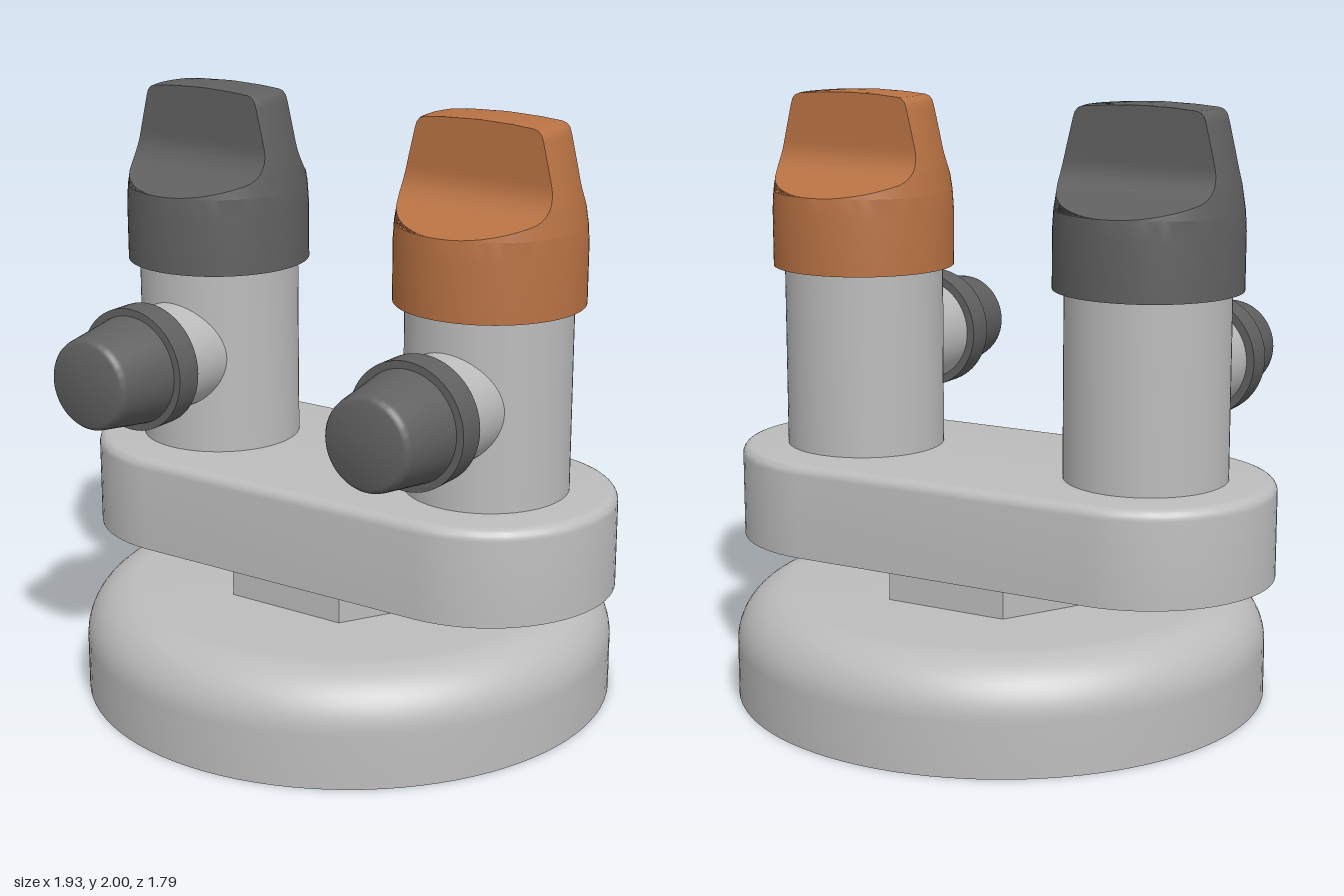
import * as THREE from 'three';
import { toCreasedNormals } from 'three/addons/utils/BufferGeometryUtils.js';

const material = (name, color) => new THREE.MeshStandardMaterial({ name, color });

// Skin a stack of closed horizontal rings, listed from bottom to top
function loft(rings) {
  const n = rings[0].length;
  const index = [];
  for (let j = 0; j < rings.length - 1; j++) {
    for (let i = 0; i < n; i++) {
      const a = j * n + i, b = j * n + (i + 1) % n;
      index.push(a, b, a + n, b + n, a + n, b);
    }
  }
  const geometry = new THREE.BufferGeometry();
  geometry.setAttribute('position', new THREE.Float32BufferAttribute(rings.flat(2), 3));
  geometry.setIndex(index);
  return toCreasedNormals(geometry, 0.6);
}

// Revolve a profile of [radius, height] pairs
function turned(profile, segments = 64) {
  const points = profile.map(([r, y]) => new THREE.Vector2(r, y));
  return toCreasedNormals(new THREE.LatheGeometry(points, segments), 0.6);
}

// Quarter-round profile points from the wall in to the top face
function fillet(r, top, size, steps = 10) {
  return Array.from({ length: steps + 1 }, (_, i) => {
    const a = (i / steps) * Math.PI / 2;
    return [r - size + size * Math.cos(a), top - size + size * Math.sin(a)];
  });
}

// Two half circles pushed apart along x
function stadiumRing(r, y, half) {
  const ring = [], steps = 32;
  for (const side of [0, 1]) {
    for (let i = 0; i <= steps; i++) {
      const a = Math.PI * (side + i / steps);
      ring.push([(side ? -half : half) + r * Math.sin(a), y, r * Math.cos(a)]);
    }
  }
  return ring;
}

// Circle of radius r trimmed flat at z = +w and z = -w
function trimmedRing(r, y, w) {
  const start = r > w ? Math.acos(w / r) : 0;
  const ring = [], steps = 32;
  for (const side of [0, 1]) {
    for (let i = 0; i <= steps; i++) {
      const a = Math.PI * side + start + (Math.PI - 2 * start) * i / steps;
      ring.push([r * Math.sin(a), y, r * Math.cos(a)]);
    }
  }
  return ring;
}

// Round knob whose upper part is cut away to a grip fin
function knobGeometry() {
  const outline = [[1.41, 0.308], [1.6, 0.308], [1.665, 0.304], [1.75, 0.291], [1.85, 0.269],
    [1.95, 0.246], [1.97, 0.24], [1.982, 0.23], [1.988, 0.215], [1.9942, 0.15], [1.998, 0.088], [2, 0]];
  const radiusAt = (y) => {
    const k = Math.max(1, outline.findIndex((p) => p[0] >= y));
    const [y0, r0] = outline[k - 1], [y1, r1] = outline[k];
    return r0 + (r1 - r0) * (y - y0) / (y1 - y0);
  };
  const cuts = [[1.41, 1], [1.6, 1], [1.665, 1]];
  // sloping shoulder
  for (let i = 1; i <= 8; i++) {
    const t = (i / 8) ** 2;
    cuts.push([1.665 + 0.04 * t, 0.304 - 0.129 * t]);
  }
  // concave sweep up into the fin
  for (let i = 1; i <= 10; i++) {
    const a = 0.28 + (Math.PI / 2 - 0.28) * i / 10;
    cuts.push([1.82 - 0.12 * Math.cos(a), 0.208 - 0.12 * Math.sin(a)]);
  }
  // straight fin and domed top
  for (const [y] of outline) if (y > 1.83) cuts.push([y, 0.088]);
  const rings = cuts.map(([y, w]) => trimmedRing(radiusAt(y), y, w));
  return loft([trimmedRing(0, 1.41, 1), ...rings]);
}

export function createModel() {
  const grey = material('light grey', 0xbcbcbc);
  const dark = material('dark grey', 0x606060);
  const orange = material('copper orange', 0xb87243);

  const model = new THREE.Group();
  model.name = 'twinValve';
  const add = (parent, name, geometry, mat) => {
    const mesh = new THREE.Mesh(geometry, mat);
    mesh.name = name;
    parent.add(mesh);
    return mesh;
  };

  // Round base with a soft upper edge
  add(model, 'base', turned([[0, 0], [0.895, 0], ...fillet(0.895, 0.36, 0.18, 14), [0, 0.36]], 96), grey);

  // Hexagonal nut between base and manifold
  const nut = new THREE.CylinderGeometry(0.43, 0.43, 0.13, 6);
  nut.rotateY(Math.PI / 2).translate(0, 0.415, 0);
  add(model, 'hexNut', toCreasedNormals(nut, 0.3), grey);

  // Manifold block with rounded ends and top edge
  const block = [[0, 0.47], [0.43, 0.47], ...fillet(0.43, 0.79, 0.035, 6), [0, 0.79]];
  add(model, 'manifold', loft(block.map(([r, y]) => stadiumRing(r, y, 0.535))), grey);

  // Shared valve geometry
  const column = turned([[0.27, 0.78], [0.27, 1.42]]);
  const knob = knobGeometry();
  const neck = turned([[0.18, 0.1], [0.18, 0.4]]).rotateX(Math.PI / 2);
  const collar = turned([[0, 0.39], [0.207, 0.39], [0.207, 0.485], [0, 0.485]]).rotateX(Math.PI / 2);
  const nozzle = turned([[0.183, 0.48], [0.154, 0.68], [0.151, 0.692], [0.145, 0.7], [0.135, 0.705], [0, 0.705]])
    .rotateX(Math.PI / 2);

  // Two valves, one on each side
  for (const side of [-1, 1]) {
    const valve = new THREE.Group();
    valve.name = side > 0 ? 'leftValve' : 'rightValve';
    valve.position.x = side * 0.538;
    add(valve, 'column', column, grey);
    add(valve, 'knob', knob, side > 0 ? orange : dark);
    const outlet = new THREE.Group();
    outlet.name = 'outlet';
    outlet.position.y = 1.118;
    add(outlet, 'neck', neck, grey);
    add(outlet, 'collar', collar, dark);
    add(outlet, 'nozzle', nozzle, dark);
    valve.add(outlet);
    model.add(valve);
  }
  return model;
}
